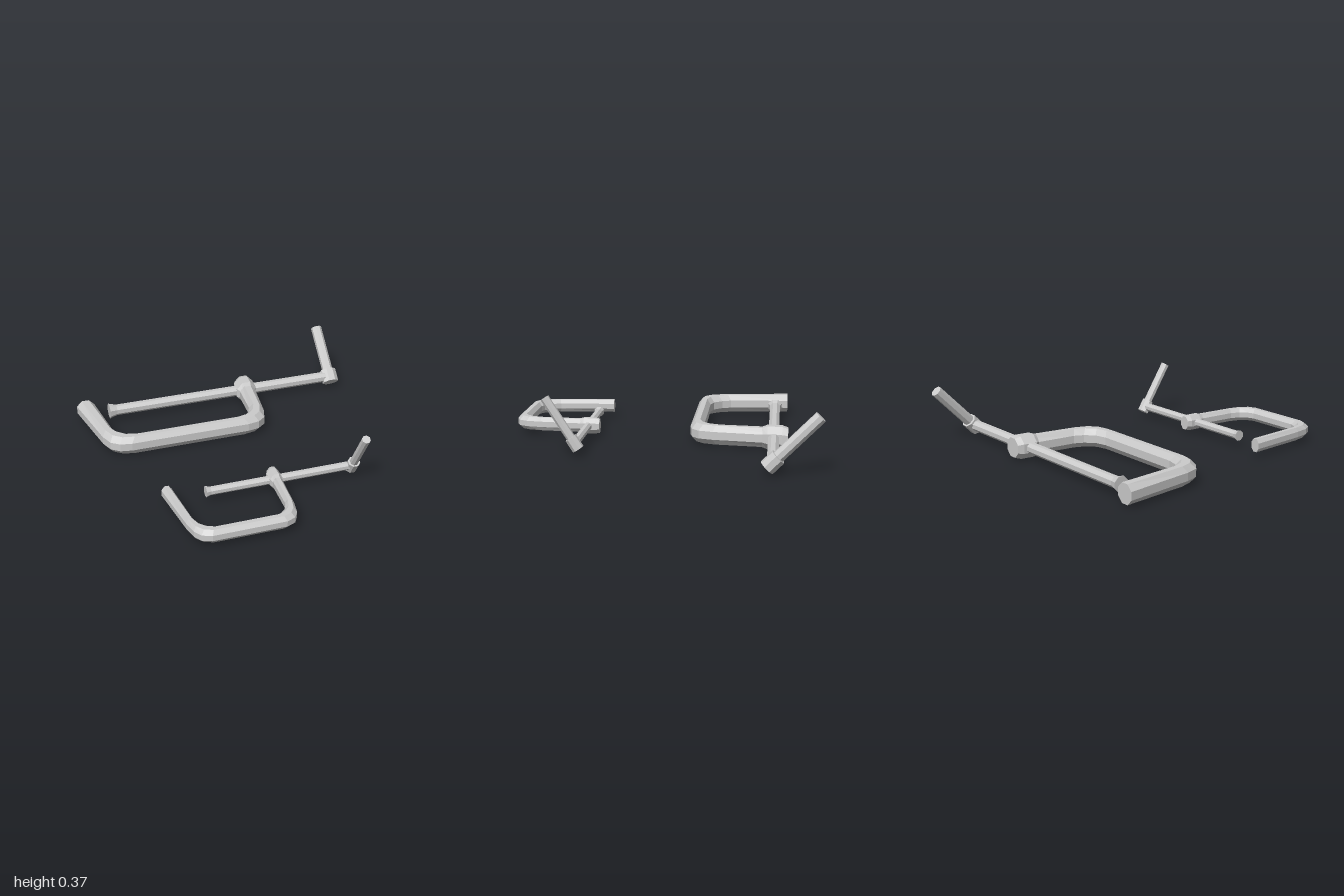
import * as THREE from 'three';

const K = Math.tan(Math.PI / 8);
const OCTAGON = [[1, -K], [1, K], [K, 1], [-K, 1], [-1, K], [-1, -K], [-K, -1], [K, -1]];
const MID_X = -0.313; // middle of both frames

const material = new THREE.MeshStandardMaterial({
  color: 0xcccccc, flatShading: true,
});

function addMesh(parent, name, geometry) {
  const mesh = new THREE.Mesh(geometry, material);
  mesh.name = name;
  parent.add(mesh);
  return mesh;
}

// Octagonal loft; each section is [outerX, outerZ, innerX, innerZ, halfHeight]
function loft(sections, y) {
  const pos = [], index = [], n = 8;
  for (const [ox, oz, ix, iz, h] of sections) {
    for (const [u, v] of OCTAGON) {
      pos.push((ox + ix) / 2 + u * (ox - ix) / 2, y + v * h, (oz + iz) / 2 + u * (oz - iz) / 2);
    }
  }
  const last = (sections.length - 1) * n;
  for (let s = 0; s < last; s += n) {
    for (let j = 0; j < n; j++) {
      const a = s + j, b = s + (j + 1) % n;
      index.push(a, a + n, b, b, a + n, b + n);
    }
  }
  for (let j = 1; j < n - 1; j++) {
    index.push(0, j, j + 1, last, last + j + 1, last + j);
  }
  const geometry = new THREE.BufferGeometry();
  geometry.setAttribute('position', new THREE.Float32BufferAttribute(pos, 3));
  geometry.setIndex(index);
  geometry.computeVertexNormals();
  return geometry;
}

// Eight-sided bar between two points, radii measured to the flats
function bar(from, to, r0, r1 = r0, stretch = 1) {
  const a = new THREE.Vector3(...from), b = new THREE.Vector3(...to);
  const dir = b.clone().sub(a), c = Math.cos(Math.PI / 8);
  const geometry = new THREE.CylinderGeometry(r1 / c, r0 / c, dir.length(), 8);
  geometry.rotateY(Math.PI / 8);
  geometry.scale(1, 1, stretch);
  geometry.applyQuaternion(new THREE.Quaternion().setFromUnitVectors(
    new THREE.Vector3(0, 1, 0), dir.normalize()));
  const mid = a.add(b).multiplyScalar(0.5);
  return geometry.translate(mid.x, mid.y, mid.z);
}

function clamp(name, p) {
  const group = new THREE.Group();
  group.name = name;

  // U-shaped frame, mirrored from one half
  const right = p.half.map(([ox, oz, ix, iz]) => [MID_X + ox, oz, MID_X + ix, iz, p.halfHeight]);
  const left = p.half.map(([ox, oz, ix, iz]) => [MID_X - ox, oz, MID_X - ix, iz, p.halfHeight]);
  addMesh(group, 'frame', loft([...left.reverse(), ...right], p.y));

  // thickened boss the screw runs through
  addMesh(group, 'screwBoss', loft(
    p.boss.map(([ox, ix, z, h]) => [MID_X + ox, z, MID_X + ix, z, h]), p.y));

  // screw and flared pressure pad
  const { y, screwZ: z, padX, hubX } = p;
  addMesh(group, 'screw', bar([padX + 0.005, y, z], [hubX, y, z], p.screwR));
  addMesh(group, 'pressurePad', bar([padX, y, z], [padX + p.padLength, y, z], p.padR, p.screwR));

  // tilted hub and handle
  const hub = new THREE.Vector3(hubX, y, z);
  const tip = new THREE.Vector3(hubX, p.tip[1], p.tip[0]);
  const step = tip.clone().sub(hub).setLength(p.hubHalf);
  addMesh(group, 'handleHub', bar(hub.clone().sub(step).toArray(),
    hub.clone().add(step).toArray(), p.hubR, p.hubR, p.hubStretch));
  addMesh(group, 'handle', bar(hub.toArray(), tip.toArray(), p.handleR));
  return group;
}

export function createModel() {
  const model = new THREE.Group();
  model.name = 'clampPair';

  model.add(clamp('largeClamp', {
    y: 0.074, halfHeight: 0.061,
    half: [
      [0.40, -0.17, 0.317, -0.254],
      [0.476, -0.185, 0.397, -0.275],
      [0.53, -0.23, 0.45, -0.33],
      [0.56, -0.32, 0.476, -0.39],
      [0.63, -0.79, 0.51, -0.79],
    ],
    boss: [
      [0.605, 0.505, -0.63, 0.061],
      [0.622, 0.485, -0.665, 0.073],
      [0.632, 0.492, -0.755, 0.073],
      [0.632, 0.508, -0.792, 0.062],
    ],
    screwZ: -0.703, screwR: 0.034, padX: -0.74, padR: 0.047, padLength: 0.05,
    hubX: 0.888, hubHalf: 0.046, hubR: 0.054, hubStretch: 0.86,
    tip: [-0.97, 0.343], handleR: 0.035,
  }));

  model.add(clamp('smallClamp', {
    y: 0.075, halfHeight: 0.043,
    half: [
      [0.228, 0.992, 0.18, 0.917],
      [0.286, 0.967, 0.217, 0.902],
      [0.317, 0.915, 0.26, 0.862],
      [0.335, 0.82, 0.283, 0.80],
      [0.373, 0.428, 0.308, 0.428],
    ],
    boss: [
      [0.358, 0.298, 0.56, 0.043],
      [0.37, 0.29, 0.53, 0.05],
      [0.374, 0.292, 0.455, 0.05],
      [0.374, 0.304, 0.426, 0.044],
    ],
    screwZ: 0.502, screwR: 0.025, padX: -0.43, padR: 0.033, padLength: 0.03,
    hubX: 0.54, hubHalf: 0.042, hubR: 0.038, hubStretch: 0.92,
    tip: [0.682, 0.354], handleR: 0.026,
  }));
  return model;
}
